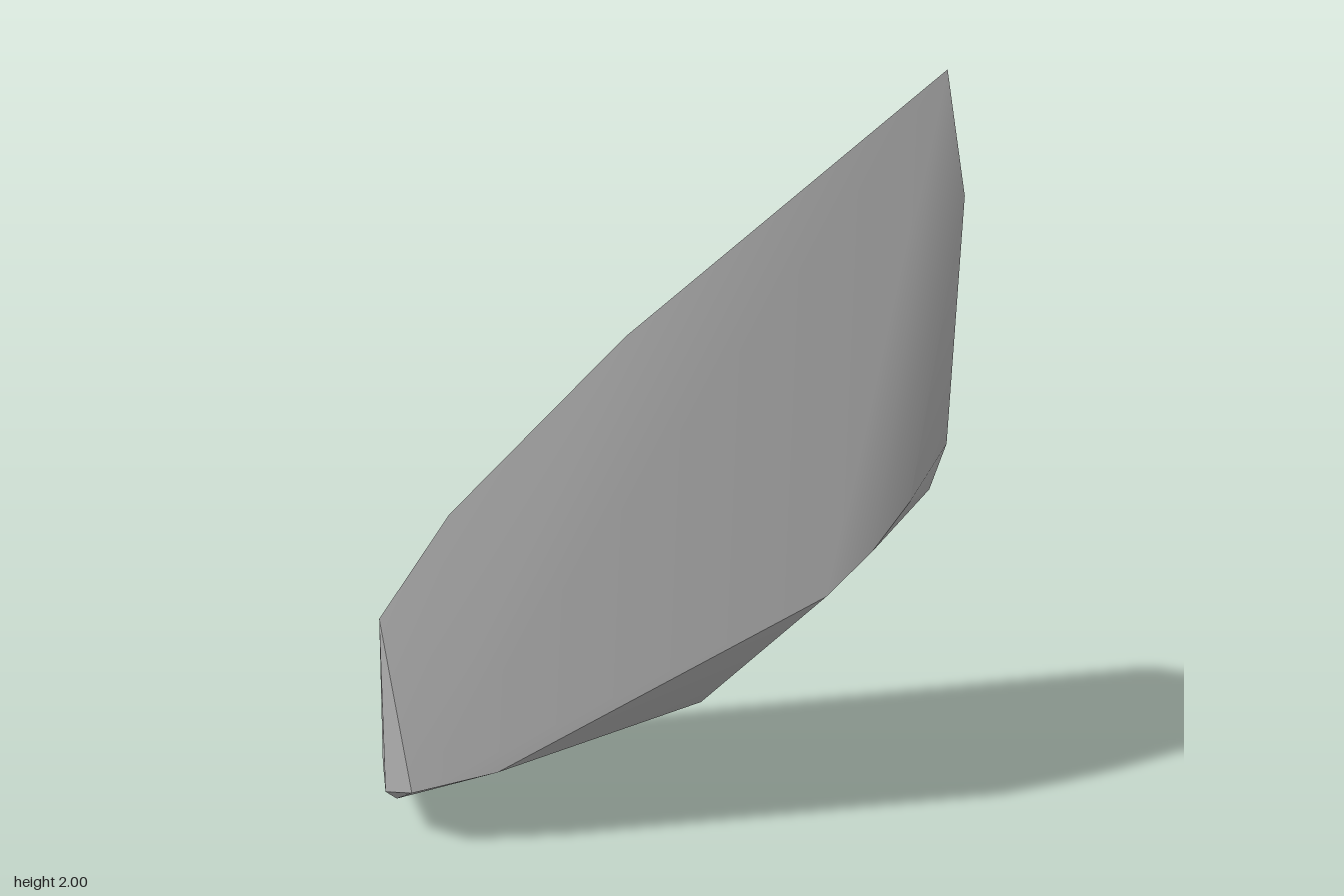
import * as THREE from 'three';
import { ConvexGeometry } from 'three/addons/geometries/ConvexGeometry.js';
import { mergeVertices, toCreasedNormals } from 'three/addons/utils/BufferGeometryUtils.js';

export function createModel() {
  const group = new THREE.Group();
  group.name = 'rockShard';
  const stone = new THREE.MeshStandardMaterial({ color: 0xb2b2b2 });
  stone.name = 'stone grey';

  // outline of the front face
  const front = [
    [0.65, 2.0, 0.28], [0.71, 1.71, 0.25], [0.71, 1.09, 0.2], [0.62, 0.96, 0.255],
    [0.53, 0.84, 0.283], [0.42, 0.73, 0.305], [-0.4, 0.24, 0.305], [-0.62, 0.18, 0.305],
    [-0.7, 0.14, 0.23], [-0.685, 0.65, 0.265], [-0.5, 0.93, 0.267], [-0.07, 1.38, 0.272],
  ];
  // left and right ends
  const ends = [
    [-0.72, 0.17, 0.13], [-0.68, 0.09, 0.18], [-0.69, 0.015, -0.03], [-0.7, 0, -0.16],
    [-0.7, 0.045, -0.265], [-0.7, 0.12, -0.275],
    [0.7, 1.21, -0.265], [0.705, 1.11, -0.303], [0.69, 0.9, -0.285],
    [0.69, 0.88, -0.2], [0.69, 0.88, -0.03], [0.7, 0.91, 0.04],
  ];
  // curved underside: x, lowest y
  const keel = [[-0.62, 0.01], [-0.4, 0.078], [-0.2, 0.155], [0, 0.26], [0.2, 0.39], [0.4, 0.55], [0.58, 0.73]];
  const under = keel.flatMap(([x, y]) => [
    [x, y, -0.16 + 0.06 * (x + 0.62)],
    [x, y + 0.012, -0.22],
    [x, y + 0.07, -0.28 - 0.015 * (x + 0.6)],
  ]);
  under.push([0.12, 0.36, 0.15]);

  const points = [...front, ...ends, ...under].map((p) => new THREE.Vector3(...p));
  const hull = new ConvexGeometry(points);
  hull.deleteAttribute('normal');
  const shard = new THREE.Mesh(toCreasedNormals(mergeVertices(hull), 0.6), stone);
  shard.name = 'shard';
  group.add(shard);
  return group;
}
